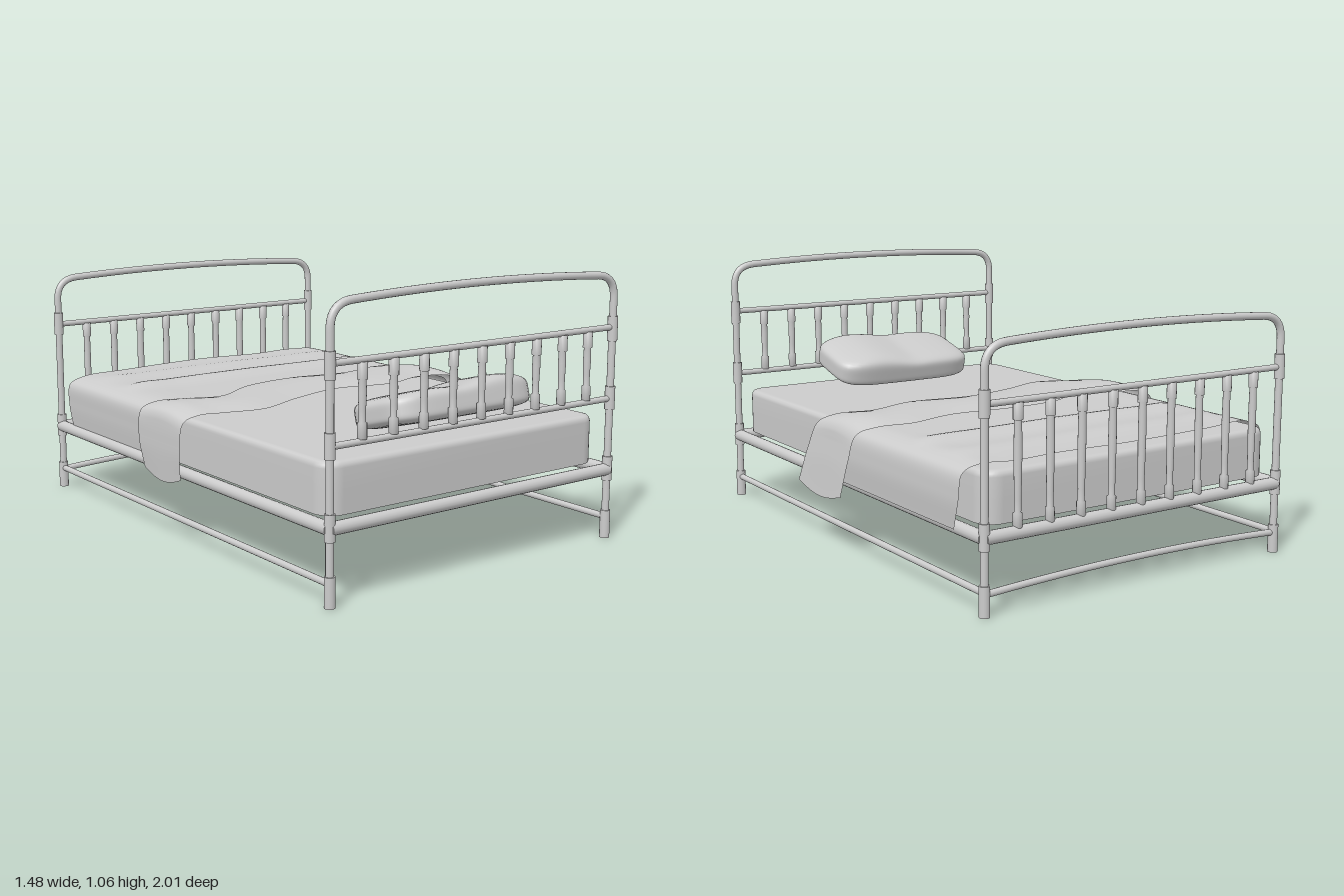
import * as THREE from 'three';
import { mergeVertices } from 'three/addons/utils/BufferGeometryUtils.js';

const CX = -0.017, HALF = 0.672, END = 0.98;
const V = (x, y, z = 0) => new THREE.Vector3(x, y, z);
const mat = new THREE.MeshStandardMaterial({ color: 0xcccccc });
const cloth = new THREE.MeshStandardMaterial({ color: 0xcccccc, side: THREE.DoubleSide });

function add(parent, name, geo, material = mat) {
  const m = new THREE.Mesh(geo, material);
  m.name = name;
  parent.add(m);
  return m;
}

// straight round bar between two points
function bar(parent, name, a, b, r) {
  const m = add(parent, name, new THREE.CylinderGeometry(r, r, a.distanceTo(b), 16));
  m.position.copy(a).add(b).multiplyScalar(0.5);
  m.quaternion.setFromUnitVectors(V(0, 1, 0), b.clone().sub(a).normalize());
  return m;
}

// one turned spindle with sleeves at both ends
function spindle(parent, x, y0, y1) {
  const profile = [[0, 0], [0.017, 0], [0.017, 0.055], [0.012, 0.058], [0.0125, 0.1]];
  const h = y1 - y0;
  const pts = [
    ...profile.map(([r, y]) => [r, y]),
    [0.015, h * 0.6], [0.0135, h - 0.062], [0.018, h - 0.06], [0.018, h], [0, h],
  ].map(([r, y]) => new THREE.Vector2(r, y));
  add(parent, 'spindle', new THREE.LatheGeometry(pts, 14)).position.set(x, y0, 0);
}

// bent hoop, rails, sleeves and spindles of one end of the bed
function endBoard(name, z, top, rails, spindleSpan, sleeves) {
  const g = new THREE.Group();
  g.name = name;
  g.position.z = z;
  const L = CX - HALF, R = CX + HALF, s = top - 0.017, bend = 0.09;
  const path = new THREE.CurvePath();
  path.add(new THREE.LineCurve3(V(L, 0), V(L, s - bend)));
  path.add(new THREE.QuadraticBezierCurve3(V(L, s - bend), V(L, s - 0.006), V(L + bend, s)));
  path.add(new THREE.QuadraticBezierCurve3(V(L + bend, s), V(CX, s + 0.034), V(R - bend, s)));
  path.add(new THREE.QuadraticBezierCurve3(V(R - bend, s), V(R, s - 0.006), V(R, s - bend)));
  path.add(new THREE.LineCurve3(V(R, s - bend), V(R, 0)));
  add(g, 'hoop', new THREE.TubeGeometry(path, 200, 0.0145, 14));
  for (const [y, r] of rails) bar(g, 'crossRail', V(L, y), V(R, y), r);
  for (const x of [L, R])
    for (const [y0, y1] of sleeves) bar(g, 'sleeve', V(x, y0), V(x, y1), 0.0195);
  for (let i = 1; i < 10; i++) spindle(g, L + (i * 2 * HALF) / 10, ...spindleSpan);
  return g;
}

// open-bottomed mattress shell from rounded rectangular rings
function mattressGeometry() {
  const hx = 0.655, hz = 0.948, rad = 0.075, n = 8, pos = [], idx = [];
  const levels = [[0, 0.3], [0, 0.38], [0, 0.462], [0.003, 0.474], [0.01, 0.482], [0.02, 0.485], [0.03, 0.485]];
  const count = 4 * (n + 1);
  for (const [inset, y] of levels)
    for (let c = 0; c < 4; c++)
      for (let i = 0; i <= n; i++) {
        const a = ((c + i / n) * Math.PI) / 2;
        const sx = c === 0 || c === 3 ? 1 : -1, sz = c < 2 ? 1 : -1;
        pos.push(sx * (hx - rad) + Math.cos(a) * (rad - inset), y, sz * (hz - rad) + Math.sin(a) * (rad - inset));
      }
  for (let j = 0; j < levels.length - 1; j++)
    for (let i = 0; i < count; i++) {
      const k = (i + 1) % count, a = j * count + i, b = j * count + k;
      idx.push(a, a + count, b, b, a + count, b + count);
    }
  const last = (levels.length - 1) * count, centre = pos.length / 3;
  pos.push(0, 0.485, 0);
  for (let i = 0; i < count; i++) idx.push(last + i, centre, last + ((i + 1) % count));
  const geo = new THREE.BufferGeometry();
  geo.setAttribute('position', new THREE.Float32BufferAttribute(pos, 3));
  geo.setIndex(idx);
  geo.computeVertexNormals();
  return geo;
}

// cloth stretched between two edge curves; rows are [x, y, back z, front z]
function drape(rows, lift) {
  const back = new THREE.CatmullRomCurve3(rows.map(([x, y, zb]) => V(x, y, zb)));
  const front = new THREE.CatmullRomCurve3(rows.map(([x, y, , zf]) => V(x, y, zf)));
  const geo = new THREE.PlaneGeometry(1, 1, 110, 60);
  const p = geo.attributes.position;
  for (let i = 0; i < p.count; i++) {
    const u = p.getX(i) + 0.5, v = 0.5 - p.getY(i);
    const q = back.getPoint(u).lerp(front.getPoint(u), v);
    p.setXYZ(i, q.x, q.y + lift(q, v), q.z);
  }
  geo.computeVertexNormals();
  return geo;
}

// soft cushion: a sphere swollen towards a box, with a shallow dent
function pillowGeometry() {
  const geo = new THREE.SphereGeometry(1, 64, 48);
  const p = geo.attributes.position;
  for (let i = 0; i < p.count; i++) {
    const x = p.getX(i), y = p.getY(i), z = p.getZ(i);
    const plan = Math.pow(Math.abs(x) ** 5 + Math.abs(z) ** 5 + Math.abs(y) ** 5, -0.2);
    const X = x * plan, Y = y * plan, Z = z * plan;
    const puff = Y > 0 ? 0.066 + 0.018 * Math.exp(-(((X - 0.5) / 0.4) ** 2)) - 0.006 * Math.exp(-(((X + 0.1) / 0.2) ** 2)) : 0.052;
    p.setXYZ(i, X * 0.328, Y * puff, Z * 0.172);
  }
  geo.deleteAttribute('uv');
  geo.deleteAttribute('normal');
  const merged = mergeVertices(geo, 1e-5);
  merged.computeVertexNormals();
  return merged;
}

export function createModel() {
  const bed = new THREE.Group();
  bed.name = 'bed';

  // metal frame
  bed.add(endBoard('headboard', END, 1.047, [[0.828, 0.012], [0.552, 0.012], [0.273, 0.024]],
    [0.56, 0.822], [[0, 0.11], [0.23, 0.325], [0.51, 0.6], [0.775, 0.87]]));
  const foot = endBoard('footboard', -END, 0.942, [[0.725, 0.012], [0.273, 0.024]],
    [0.285, 0.72], [[0, 0.11], [0.23, 0.325], [0.68, 0.775]]);
  const arch = new THREE.QuadraticBezierCurve3(V(CX - HALF, 0.078), V(CX, 0.118), V(CX + HALF, 0.078));
  add(foot, 'archedBrace', new THREE.TubeGeometry(arch, 32, 0.0125, 12));
  bed.add(foot);
  for (const s of [-1, 1]) {
    const x = CX + s * HALF;
    bar(bed, 'sideRail', V(x, 0.273, -END), V(x, 0.273, END), 0.024);
    bar(bed, 'lowerSideRail', V(x, 0.083, -END), V(x, 0.083, END), 0.0125);
  }

  // bedding
  add(bed, 'mattress', mattressGeometry(), cloth).position.x = -0.025;

  const pillow = add(bed, 'pillow', pillowGeometry());
  pillow.position.set(-0.027, 0.58, 0.79);
  pillow.rotation.x = -0.27;

  const ridge = (q, z, w) => Math.exp(-(((q.z - z) / w) ** 2));
  const onTop = (q) => THREE.MathUtils.smoothstep(0.66 - Math.abs(q.x), 0, 0.15);
  add(bed, 'blanket', drape([
    [-0.69, 0.275, -0.86, 0.02], [-0.7, 0.39, -0.88, 0.02], [-0.694, 0.475, -0.88, 0.02],
    [-0.64, 0.503, -0.87, 0.02], [-0.4, 0.507, -0.9, 0.02], [0, 0.509, -0.93, 0.02],
    [0.3, 0.506, -0.91, 0.02], [0.5, 0.506, -0.925, 0.02], [0.62, 0.502, -0.89, 0.02],
    [0.677, 0.475, -0.88, 0.02], [0.692, 0.39, -0.88, 0.02], [0.685, 0.275, -0.84, 0.02],
  ], (q) => onTop(q) * (0.018 * ridge(q, -0.5, 0.055) + 0.01 * ridge(q, -0.72, 0.07))), cloth);

  add(bed, 'foldedBlanketEdge', drape([
    [-0.738, 0.26, -0.16, 0.11], [-0.745, 0.38, -0.19, 0.12], [-0.733, 0.485, -0.19, 0.13],
    [-0.68, 0.511, -0.18, 0.15], [-0.58, 0.515, -0.16, 0.18], [-0.43, 0.518, -0.09, 0.22],
    [-0.22, 0.52, -0.2, 0.14], [0.02, 0.522, -0.23, 0.08], [0.28, 0.52, -0.2, 0.12],
    [0.49, 0.518, -0.25, 0.06], [0.63, 0.512, -0.22, 0.1], [0.69, 0.48, -0.17, 0.14],
    [0.715, 0.38, -0.15, 0.18], [0.735, 0.235, -0.12, 0.23],
  ], (q, v) => {
    const belly = Math.sin(Math.PI * v);
    return q.y > 0.45 ? 0.017 * belly : -0.03 * belly * THREE.MathUtils.smoothstep(0.4 - q.y, 0, 0.15);
  }), cloth);

  return bed;
}
